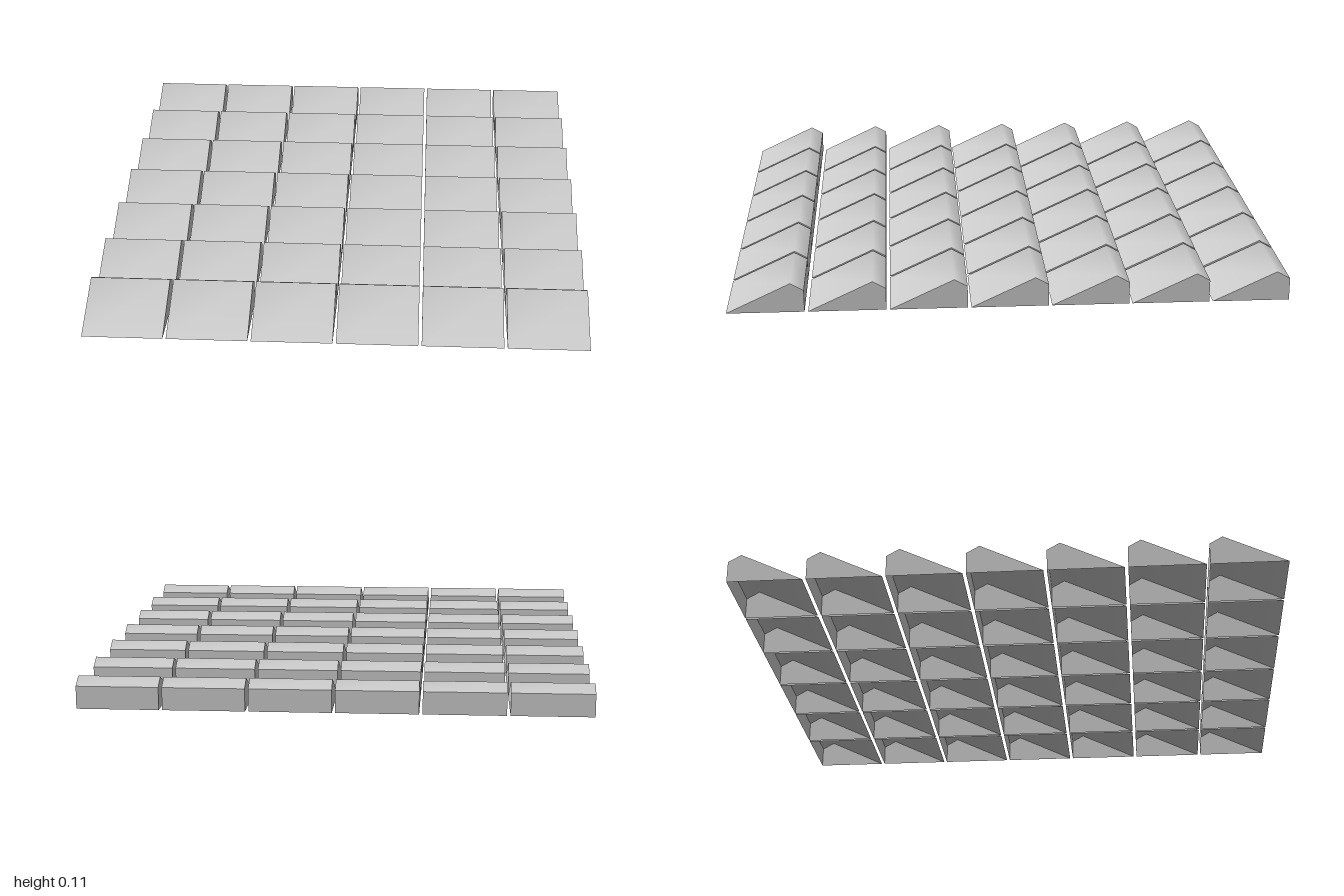
import * as THREE from 'three';
import { toCreasedNormals } from 'three/addons/utils/BufferGeometryUtils.js';

const COLUMNS = 6, ROWS = 7;
const WIDTH = 0.29, DEPTH = 0.275;
const PITCH_X = (1.8 - WIDTH) / (COLUMNS - 1);
const PITCH_Z = (2 - DEPTH) / (ROWS - 1);

// Hollow shingle, open underneath: long slope, short bevel, upright back, two end walls
function shingleGeometry() {
  // side profile as [z, y], from the front lip over the ridge to the back foot
  const profile = [
    [DEPTH / 2, 0],
    [DEPTH / 2 - 0.228, 0.108],
    [-DEPTH / 2, 0.081],
    [-DEPTH / 2, 0],
  ];
  const positions = [], index = [];
  for (const [z, y] of profile) {
    positions.push(-WIDTH / 2, y, z, WIDTH / 2, y, z);
  }
  for (let i = 0; i < profile.length - 1; i++) {
    const l = 2 * i, r = l + 1;
    index.push(l, r, r + 2, l, r + 2, l + 2);
  }
  // end walls
  for (let i = 1; i < profile.length - 1; i++) {
    index.push(0, 2 * i, 2 * i + 2);
    index.push(1, 2 * i + 3, 2 * i + 1);
  }
  const geometry = new THREE.BufferGeometry();
  geometry.setAttribute('position', new THREE.Float32BufferAttribute(positions, 3));
  geometry.setIndex(index);
  // soften only the ridge
  return toCreasedNormals(geometry, 1.0);
}

export function createModel() {
  const model = new THREE.Group();
  model.name = 'shingledRoofPanel';
  const material = new THREE.MeshStandardMaterial({ color: 0xcccccc, side: THREE.DoubleSide });
  const geometry = shingleGeometry();

  // rows run from front to back
  for (let r = 0; r < ROWS; r++) {
    const row = new THREE.Group();
    row.name = `shingleRow${r + 1}`;
    row.position.z = ((ROWS - 1) / 2 - r) * PITCH_Z;
    for (let c = 0; c < COLUMNS; c++) {
      const shingle = new THREE.Mesh(geometry, material);
      shingle.name = 'shingle';
      shingle.position.x = (c - (COLUMNS - 1) / 2) * PITCH_X;
      row.add(shingle);
    }
    model.add(row);
  }
  return model;
}
